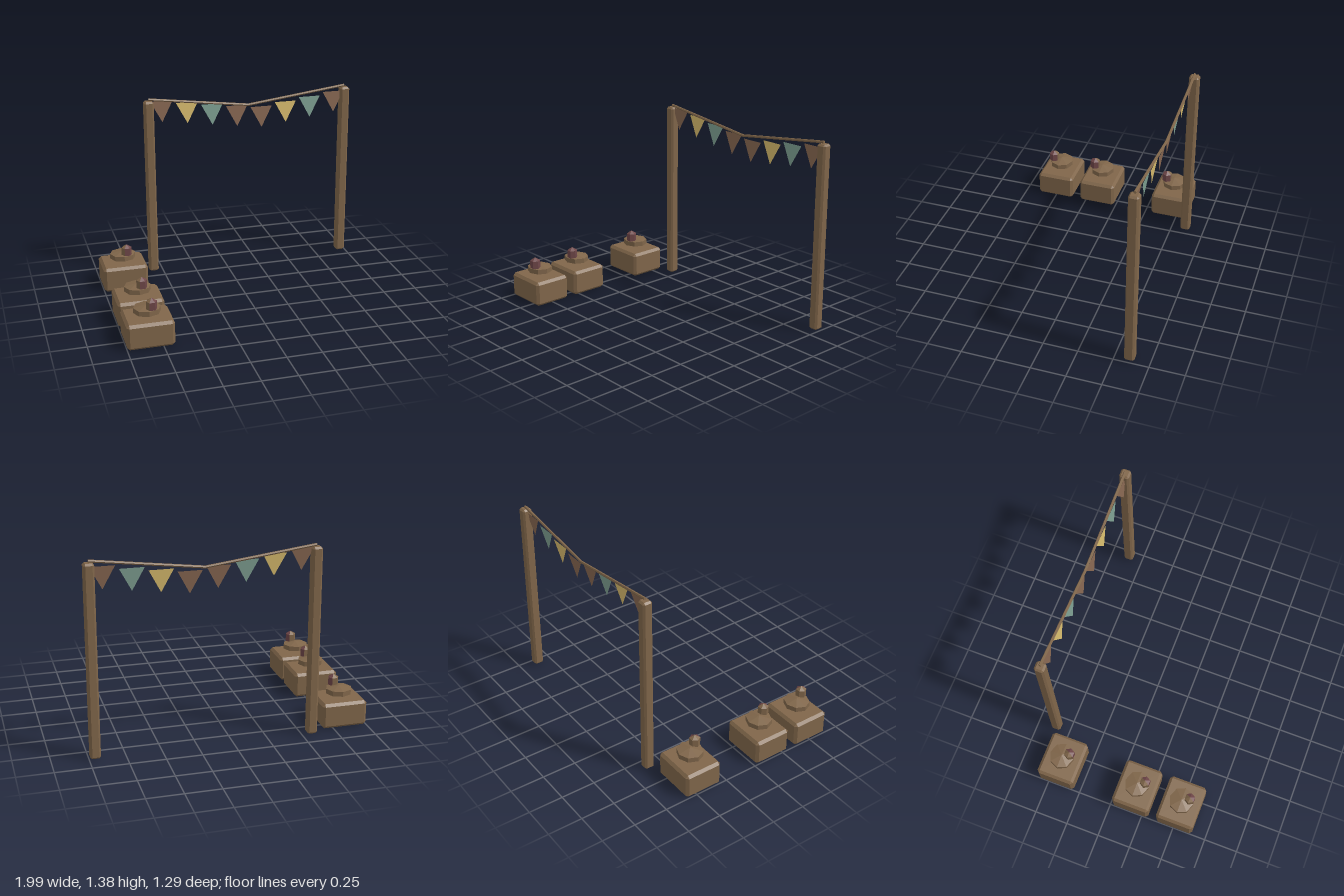
import * as THREE from 'three';
import { ConvexGeometry } from 'three/addons/geometries/ConvexGeometry.js';

const material = (name, color, extra = {}) => {
  const m = new THREE.MeshStandardMaterial({ color, ...extra });
  m.name = name;
  return m;
};

// Box with a single flat chamfer on every edge
function chamferedBox(w, h, d, b) {
  const half = [w / 2, h / 2, d / 2];
  const points = [];
  for (const sx of [-1, 1]) for (const sy of [-1, 1]) for (const sz of [-1, 1]) {
    for (let axis = 0; axis < 3; axis++) {
      const p = half.map((v, i) => (i === axis ? v : v - b));
      points.push(new THREE.Vector3(p[0] * sx, p[1] * sy, p[2] * sz));
    }
  }
  return new ConvexGeometry(points);
}

// Faceted solid of revolution with a corner pointing along +x
function facetedLathe(profile, sides) {
  const g = new THREE.LatheGeometry(profile.map(([x, y]) => new THREE.Vector2(x, y)), sides);
  g.rotateY(Math.PI / 2);
  const flat = g.toNonIndexed();
  flat.computeVertexNormals();
  return flat;
}

// Group 1 for facets on the front left half, group 0 for the rest
function splitFrontLeft(g) {
  const p = g.attributes.position;
  for (let i = 0; i < p.count; i += 3) {
    let s = 0;
    for (let k = 0; k < 3; k++) s += p.getX(i + k) + p.getZ(i + k);
    g.addGroup(i, 3, s > 0.005 ? 1 : 0);
  }
  return g;
}

export function createModel() {
  const model = new THREE.Group();
  model.name = 'buntingGateWithCrates';

  const wood = material('wood', 0x80664a);
  const plum = material('plum', 0x6e4648);
  const two = { side: THREE.DoubleSide };
  const brown = material('brownCloth', 0x866650, two);
  const yellow = material('yellowCloth', 0xd6ba6c, two);
  const teal = material('tealCloth', 0x7d9e90, two);

  const add = (parent, name, geometry, mat, x, y, z) => {
    const mesh = new THREE.Mesh(geometry, mat);
    mesh.name = name;
    mesh.position.set(x, y, z);
    parent.add(mesh);
    return mesh;
  };

  // Crates, each with a faceted dish and a small pointed fruit
  const crateGeo = chamferedBox(0.33, 0.185, 0.284, 0.019);
  const dishGeo = facetedLathe([[0, 0.187], [0.095, 0.212], [0.095, 0.248], [0, 0.268]], 8);
  dishGeo.scale(1, 1, 0.94);
  const fruitGeo = splitFrontLeft(
    facetedLathe([[0, 0.25], [0.038, 0.255], [0.038, 0.312], [0, 0.336]], 6));
  for (const z of [-0.44, 0.155, 0.502]) {
    const stand = new THREE.Group();
    stand.name = 'crateStand';
    stand.position.set(-0.835, 0, z);
    add(stand, 'crate', crateGeo, wood, 0, 0.0925, 0);
    add(stand, 'dish', dishGeo, wood, 0, 0, 0);
    add(stand, 'fruit', fruitGeo, [wood, plum], 0.022, 0, 0.055);
    model.add(stand);
  }

  // Gate posts
  const gateZ = -0.607;
  const postX = [-0.571, 0.957];
  const postGeo = chamferedBox(0.072, 1.352, 0.072, 0.013);
  for (const x of postX) add(model, 'post', postGeo, wood, x, 0.681, gateZ);

  // Sagging rope in two straight runs
  const middle = new THREE.Vector3(0.193, 1.271, gateZ);
  for (const x of postX) {
    const end = new THREE.Vector3(x, 1.369, gateZ);
    const run = end.clone().sub(middle);
    const geo = new THREE.CylinderGeometry(0.01, 0.01, run.length(), 6).toNonIndexed();
    geo.computeVertexNormals();
    const centre = middle.clone().add(end).multiplyScalar(0.5);
    const rope = add(model, 'rope', geo, wood, centre.x, centre.y, centre.z);
    rope.quaternion.setFromUnitVectors(new THREE.Vector3(0, 1, 0), run.normalize());
  }

  // Pennants with the tips swung slightly forward
  const flagGeo = new THREE.BufferGeometry();
  flagGeo.setAttribute('position', new THREE.Float32BufferAttribute(
    [-0.084, 0, 0, 0, -0.158, 0.014, 0.084, 0, 0], 3));
  flagGeo.computeVertexNormals();
  const cloths = [brown, yellow, teal, brown, brown, yellow, teal, brown];
  const tops = [1.352, 1.328, 1.3, 1.274, 1.252, 1.276, 1.301, 1.327];
  cloths.forEach((cloth, i) => {
    add(model, 'pennant', flagGeo, cloth, -0.473 + i * 0.1915, tops[i], gateZ + 0.004);
  });

  return model;
}
